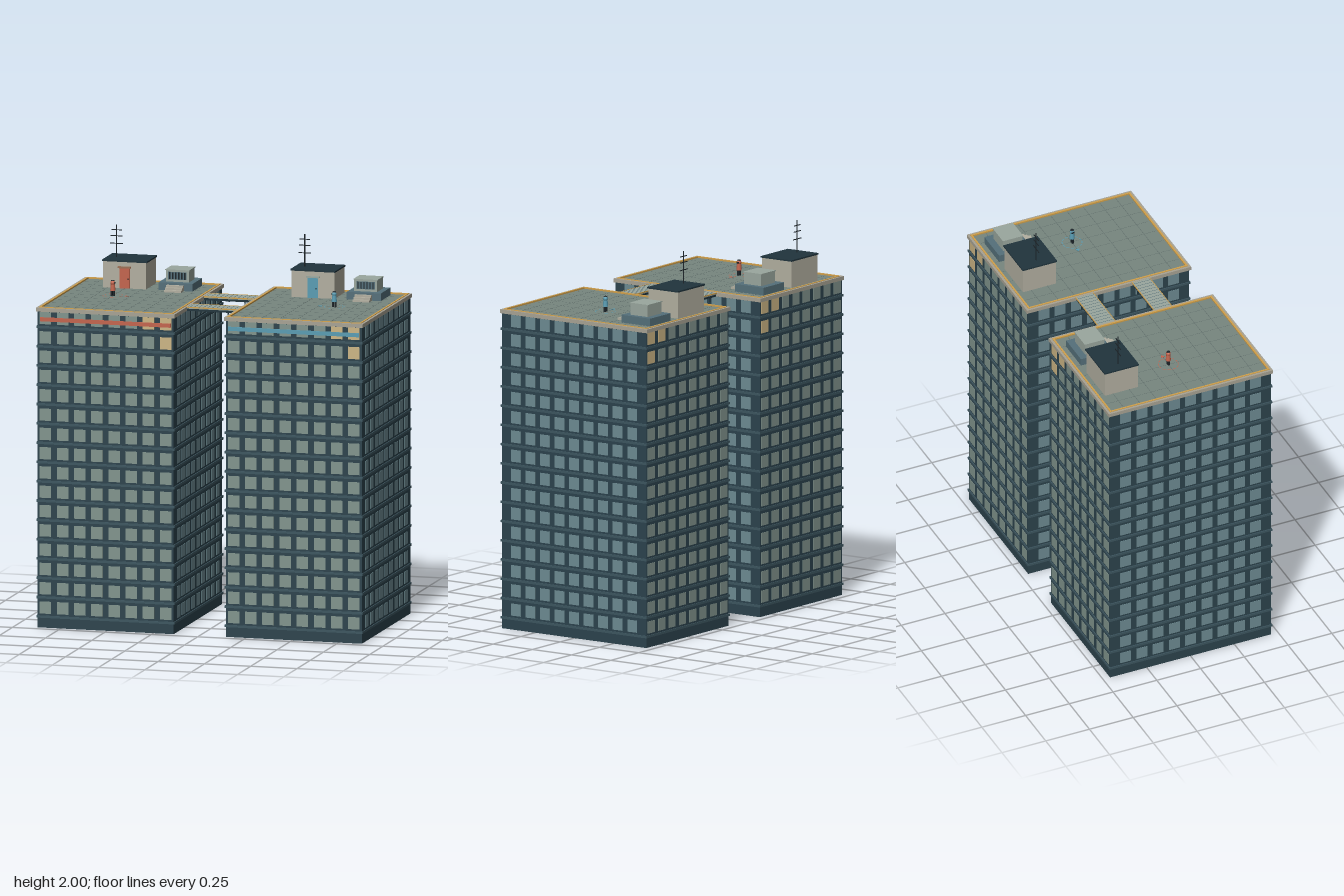
import * as THREE from 'three';
import { mergeGeometries } from 'three/addons/utils/BufferGeometryUtils.js';

const C = {
  wall: 0x2c434d, ledge: 0x3d5660, paneFront: 0x81948d, paneSide: 0x6d8b92, warm: 0xcdb685,
  roof: 0x77867f, seam: 0x64736f, coping: 0xa8a394, trim: 0xd0a04c, plaster: 0xb2afa0,
  dark: 0x20343d, unit: 0x55707a, pale: 0x9aa79e, black: 0x1c2429, red: 0xc4654e, blue: 0x5a9db3,
};
const mats = {};
const mat = (c) => (mats[c] ??= new THREE.MeshStandardMaterial({ color: c }));

// box geometry given by size and centre
const box = (w, h, d, x, y, z) => new THREE.BoxGeometry(w, h, d).translate(x, y, z);

function add(parent, name, color, ...geos) {
  const mesh = new THREE.Mesh(geos.length > 1 ? mergeGeometries(geos) : geos[0], mat(color));
  mesh.name = name;
  parent.add(mesh);
  return mesh;
}

// four bars forming a rectangular rim of outer size w x d
const rim = (w, d, t, h, y) => [
  box(w, h, t, 0, y, d / 2 - t / 2), box(w, h, t, 0, y, t / 2 - d / 2),
  box(t, h, d - 2 * t, w / 2 - t / 2, y, 0), box(t, h, d - 2 * t, t / 2 - w / 2, y, 0),
];

const W = 0.735, D = 0.92, ROWS = 16, STEP = 0.1018, PITCH = 0.0927, ROOF = 1.682;

function facade(t) {
  add(t, 'towerBody', C.wall, box(W, 1.67, D, 0, 0.835, 0));
  const ledges = [], front = [], side = [], warm = [];
  for (let r = 0; r < ROWS; r++) {
    const y = 0.106 + r * STEP;
    ledges.push(box(W + 0.01, 0.012, D + 0.01, 0, y - STEP / 2 + 0.003, 0));
    // front and back windows, a few of them lit
    for (let c = 0; c < 8; c++) {
      const lit = (r === 15 && c >= 6) || (r === 14 && c === 7);
      for (const s of [-1, 1])
        (lit ? warm : front).push(box(0.062, 0.064, 0.004, (c - 3.5) * PITCH, y, s * D / 2));
    }
    // windows on both sides
    for (let c = 0; c < 9; c++)
      for (const s of [-1, 1])
        side.push(box(0.004, 0.064, 0.062, s * W / 2, y, (c - 4) * PITCH));
  }
  add(t, 'floorLedges', C.ledge, ...ledges);
  add(t, 'frontAndBackWindows', C.paneFront, ...front);
  add(t, 'sideWindows', C.paneSide, ...side);
  add(t, 'litWindows', C.warm, ...warm);
}

function roofDeck(t) {
  add(t, 'roofDeck', C.roof, box(W, 0.012, D, 0, ROOF - 0.006, 0));
  const seams = [];
  for (let i = -4; i <= 4; i++) seams.push(box(W - 0.04, 0.001, 0.003, 0, ROOF, i * 0.0927));
  for (let i = -3; i <= 3; i++) seams.push(box(0.002, 0.001, D - 0.04, i * 0.0927, ROOF, 0));
  add(t, 'roofSeams', C.seam, ...seams);
  add(t, 'coping', C.coping, ...rim(0.748, 0.938, 0.018, 0.02, 1.677));
  add(t, 'edgeTrim', C.trim, ...rim(0.722, 0.912, 0.01, 0.01, 1.685));
}

function stairHouse(t, accent) {
  const g = new THREE.Group();
  g.name = 'stairHouse';
  g.position.set(-0.093, ROOF, -0.322);
  add(g, 'houseWalls', C.plaster, box(0.232, 0.14, 0.188, 0, 0.07, 0));
  add(g, 'houseRoof', C.dark, box(0.242, 0.008, 0.197, 0, 0.143, 0));
  add(g, 'door', accent, box(0.056, 0.106, 0.006, 0, 0.053, 0.095));
  add(g, 'doorLintel', accent === C.red ? 0x9a6f55 : C.pale, box(0.07, 0.009, 0.014, 0, 0.111, 0.098));
  add(g, 'doorHandle', C.black, box(0.004, 0.008, 0.006, 0.019, 0.05, 0.099));
  // mast with crossbars that shorten upwards
  const mast = new THREE.CylinderGeometry(0.003, 0.003, 0.173, 6).translate(-0.07, 0.2315, 0.002);
  const bars = [0.218, 0.258, 0.29].map((y, i) => box(0.068 - i * 0.006, 0.004, 0.004, -0.07, y, 0.002));
  add(g, 'antenna', C.black, mast, ...bars);
  t.add(g);
}

function coolingUnit(t) {
  const g = new THREE.Group();
  g.name = 'coolingUnit';
  g.position.set(0.18, ROOF, -0.324);
  add(g, 'unitBase', C.unit, box(0.184, 0.04, 0.184, 0, 0.02, 0));
  add(g, 'unitBox', C.pale, box(0.124, 0.062, 0.11, 0, 0.071, 0));
  add(g, 'unitLid', C.pale, box(0.13, 0.005, 0.116, 0, 0.102, 0));
  add(g, 'ventPanel', C.unit, box(0.1, 0.04, 0.003, 0, 0.072, 0.055));
  const slats = [];
  for (let i = 0; i < 6; i++) slats.push(box(0.006, 0.036, 0.004, (i - 2.5) * 0.016, 0.072, 0.057));
  add(g, 'ventSlats', C.black, ...slats);
  const steps = [0, 1, 2].map((i) => box(0.09, 0.03 - i * 0.01, 0.019, 0, 0.015 - i * 0.005, 0.1015 + i * 0.019));
  add(g, 'steps', C.plaster, ...steps);
  t.add(g);
}

// small standing figure on a dashed floor ring with an arrow towards the gap
function figure(t, accent, x, dir) {
  const g = new THREE.Group();
  g.name = 'figure';
  g.position.set(x, ROOF, 0);
  add(g, 'legs', C.black, box(0.008, 0.032, 0.011, -0.006, 0.016, 0), box(0.008, 0.032, 0.011, 0.006, 0.016, 0));
  add(g, 'torso', accent, new THREE.CylinderGeometry(0.011, 0.014, 0.034, 10).translate(0, 0.045, 0));
  add(g, 'head', accent, new THREE.SphereGeometry(0.0125, 12, 8).translate(0, 0.069, 0));
  add(g, 'cap', C.black, new THREE.CylinderGeometry(0.008, 0.01, 0.004, 10).translate(0, 0.081, 0));
  add(g, 'face', C.black, box(0.004, 0.008, 0.014, dir * 0.011, 0.069, 0));
  const dashes = [];
  for (let i = 0; i < 12; i++)
    dashes.push(new THREE.RingGeometry(0.05, 0.054, 4, 1, i * Math.PI / 6, 0.36).rotateX(-Math.PI / 2).translate(0, 0.002, 0));
  add(g, 'floorRing', accent, ...dashes);
  const arrow = new THREE.CylinderGeometry(0.014, 0.014, 0.002, 3).rotateY(dir * Math.PI / 2).translate(dir * 0.073, 0.002, 0);
  add(g, 'floorArrow', accent, arrow);
  t.add(g);
}

function tower(name, x, accent, figureX, dir) {
  const t = new THREE.Group();
  t.name = name;
  t.position.x = x;
  facade(t);
  add(t, 'frontStripe', accent, box(0.705, 0.021, 0.008, 0, 1.627, D / 2 + 0.003));
  roofDeck(t);
  stairHouse(t, accent);
  coolingUnit(t);
  figure(t, accent, figureX - x, dir);
  return t;
}

function bridge(z) {
  const g = new THREE.Group();
  g.name = 'bridge';
  g.position.z = z;
  add(g, 'bridgeDeck', C.pale, box(0.292, 0.008, 0.1, 0, 1.682, 0));
  add(g, 'bridgeBeams', C.dark, box(0.28, 0.012, 0.012, 0, 1.672, 0.04), box(0.28, 0.012, 0.012, 0, 1.672, -0.04));
  const seams = [], hangers = [];
  for (let i = -5; i <= 5; i++) seams.push(box(0.002, 0.001, 0.092, i * 0.024, 1.6863, 0));
  for (const x of [-0.085, 0, 0.085]) {
    hangers.push(box(0.01, 0.008, 0.09, x, 1.668, 0));
    if (x) for (const s of [-1, 1]) hangers.push(box(0.006, 0.028, 0.006, x, 1.656, s * 0.04));
  }
  add(g, 'plankSeams', C.unit, ...seams);
  add(g, 'bridgeSupports', C.dark, ...hangers);
  add(g, 'bridgeEdges', C.trim, box(0.28, 0.006, 0.003, 0, 1.685, 0.05), box(0.28, 0.006, 0.003, 0, 1.685, -0.05));
  return g;
}

export function createModel() {
  const model = new THREE.Group();
  model.name = 'twinTowers';
  model.add(
    tower('rightTower', -0.508, C.red, -0.6, 1),
    tower('leftTower', 0.508, C.blue, 0.595, -1),
    bridge(-0.14), bridge(0.182),
  );
  return model;
}
